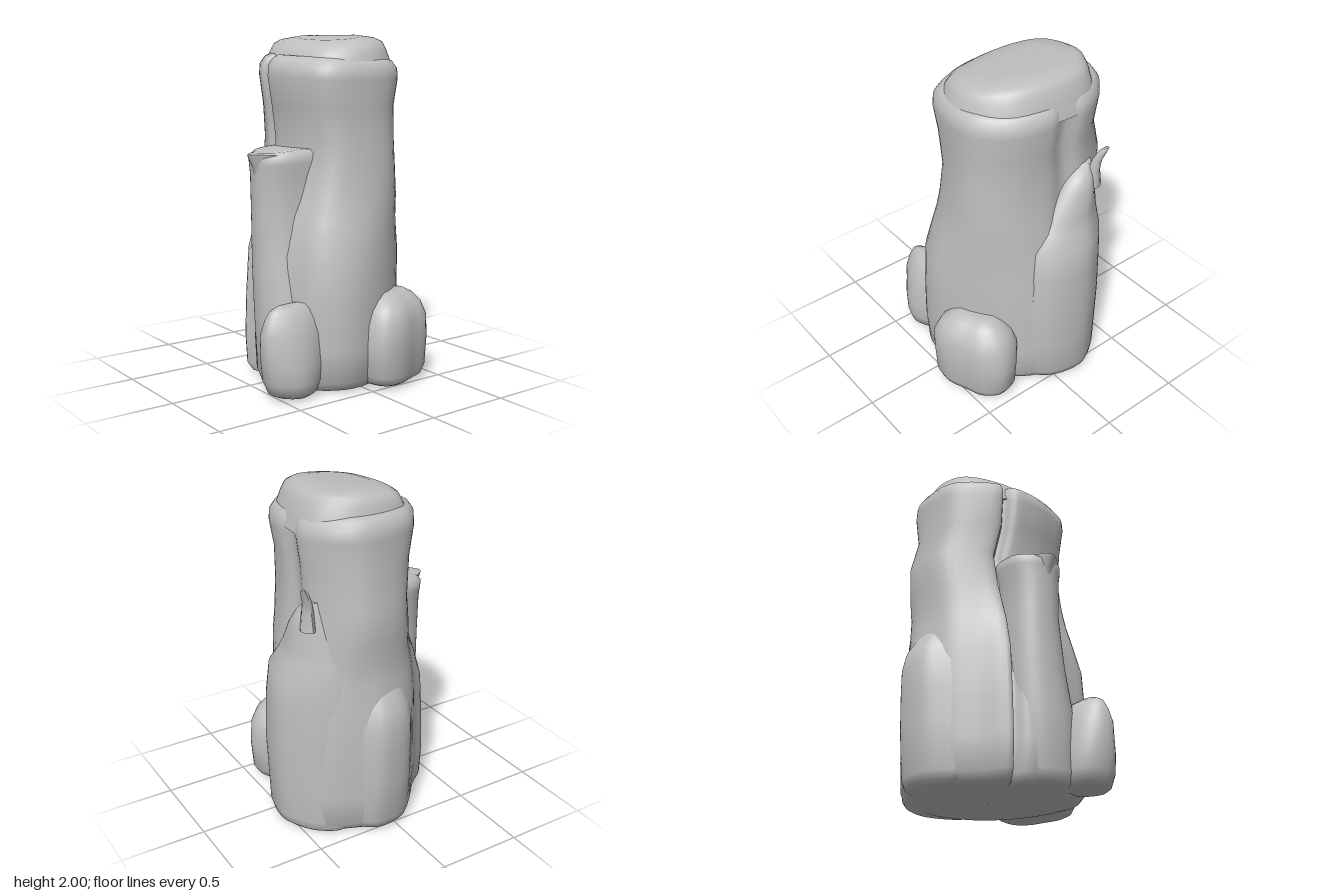
import * as THREE from 'three';
import { toCreasedNormals } from 'three/addons/utils/BufferGeometryUtils.js';

const stone = new THREE.MeshStandardMaterial({ color: 0xbfbfbf });
stone.name = 'grey stone';

const sampleOutline = (outline, samples) => {
  const curve = new THREE.CatmullRomCurve3(
    outline.map(([x, z]) => new THREE.Vector3(x, 0, z)), true, 'centripetal');
  return Array.from({ length: samples }, (_, i) => curve.getPoint(i / samples));
};

// Lofts a closed plan outline [x, z] (left, front, right, back) through
// ascending levels [y, scaleX, scaleZ, shiftX, shiftZ, morph], scaled about a
// centre. Morph blends to a second outline; heightRule changes point heights.
function loft(name, outline, centre, levels,
  { samples = 40, heightRule = (x, y) => y, base = outline } = {}) {
  const ring = sampleOutline(outline, samples), baseRing = sampleOutline(base, samples);
  const close = ([y, sx, sz, ...rest], s) => [y, sx * s, sz * s, ...rest];
  const last = levels[levels.length - 1];
  const all = [close(levels[0], 0.01), ...levels, close(last, 0.6), close(last, 0.01)];
  const positions = [], index = [];
  all.forEach(([y, sx, sz, dx = 0, dz = 0, morph = 0], l) => {
    ring.forEach((point, i) => {
      const p = point.clone().lerp(baseRing[i], morph);
      const x = centre[0] + (p.x - centre[0]) * sx + dx;
      const z = centre[1] + (p.z - centre[1]) * sz + dz;
      positions.push(x, heightRule(x, y, z), z);
      if (l === all.length - 1) return;
      const a = l * samples + i, b = l * samples + (i + 1) % samples;
      index.push(a, b, b + samples, a, b + samples, a + samples);
    });
  });
  const geometry = new THREE.BufferGeometry();
  geometry.setAttribute('position', new THREE.Float32BufferAttribute(positions, 3));
  geometry.setIndex(index);
  const mesh = new THREE.Mesh(toCreasedNormals(geometry, 1), stone);
  mesh.name = name;
  return mesh;
}

export function createModel() {
  const model = new THREE.Group();
  model.name = 'treeStump';

  // Main trunk: round shaft with a front crevice, swelling into a lobed base
  const shaft = [[-0.48, -0.1], [-0.43, 0.1], [-0.28, 0.23], [-0.18, 0.27], [-0.145, 0.225],
    [-0.1, 0.29], [0.02, 0.3], [0.17, 0.27], [0.32, 0.19], [0.385, 0], [0.37, -0.22],
    [0.22, -0.38], [0.02, -0.43], [-0.09, -0.4], [-0.2, -0.43], [-0.36, -0.36], [-0.46, -0.24]];
  const base = [[-0.53, -0.1], [-0.45, 0.14], [-0.32, 0.27], [-0.2, 0.4], [-0.15, 0.33],
    [-0.1, 0.4], [0.04, 0.43], [0.2, 0.37], [0.37, 0.3], [0.47, 0.12], [0.42, -0.15],
    [0.24, -0.4], [0.08, -0.5], [-0.1, -0.54], [-0.24, -0.52], [-0.4, -0.42], [-0.48, -0.28]];
  model.add(loft('trunk', shaft, [-0.04, -0.07], [
    [0.005, 0.8, 0.8, 0, 0, 1], [0.02, 0.91, 0.91, 0, 0, 1], [0.07, 0.98, 0.98, 0, 0, 1],
    [0.25, 1, 1, 0, 0, 1], [0.5, 1, 0.98, 0, 0, 1], [0.77, 1.01, 0.98, 0, 0, 0.85],
    [0.95, 1, 0.98, 0, 0, 0.45], [1.08, 1.01, 0.97, 0, -0.01, 0.18],
    [1.2, 1.04, 0.95, -0.01, -0.01], [1.4, 1.04, 0.89, -0.02, -0.02], [1.6, 0.98, 0.95],
    [1.76, 1.02, 1.02], [1.82, 1.01, 1.01], [1.86, 0.95, 0.93], [1.88, 0.88, 0.82]],
  { samples: 85, base,
    heightRule: (x, y) => y - 0.05 * x * THREE.MathUtils.smoothstep(y, 1.6, 1.82) }));

  // Rounded crown, highest towards the back and falling to the front and right
  const crown = [[-0.41, -0.08], [-0.36, 0.1], [-0.2, 0.19], [0.05, 0.21], [0.25, 0.16],
    [0.34, 0], [0.32, -0.18], [0.2, -0.32], [-0.05, -0.38], [-0.27, -0.36], [-0.38, -0.24]];
  model.add(loft('crown', crown, [-0.03, -0.08], [
    [1.78, 1.1, 1.16], [1.86, 1.04, 1.08], [1.91, 1, 1], [1.95, 0.95, 0.92],
    [1.97, 0.86, 0.8], [1.985, 0.6, 0.55]], { samples: 48, heightRule: (x, y, z) => {
    const lift = THREE.MathUtils.smoothstep(y, 1.8, 1.95);
    return Math.min(2, y - lift * (0.06 * x + 0.1 * (z + 0.08)));
  } }));

  // Broken column on the front, its top falling to a pointed lip
  model.add(loft('frontColumn', [[-0.16, 0.2], [-0.15, 0.36], [-0.08, 0.44], [0.03, 0.46],
    [0.12, 0.41], [0.18, 0.3], [0.2, 0.1], [-0.1, 0.1]], [0.02, 0.25], [
    [0.015, 0.8, 0.75, 0.07], [0.03, 1, 0.9, 0.08], [0.09, 1.12, 1, 0.08], [0.4, 1.15, 1.02, 0.06],
    [0.7, 1.02, 1, 0.02], [1, 0.92, 0.98], [1.22, 0.96, 0.99], [1.29, 1.03, 1],
    [1.34, 1.04, 1.02], [1.365, 0.92, 0.9]], {
    heightRule: (x, y, z) => y - 0.13 * Math.max(0, z - 0.25) * THREE.MathUtils.smoothstep(y, 1.2, 1.34) }));
  model.add(loft('frontLip', [[-0.1, 0.36], [-0.06, 0.44], [0, 0.5], [0.08, 0.45], [0.14, 0.36],
    [0.02, 0.26]], [0.02, 0.36], [[1.15, 0.6, 0.6], [1.27, 0.85, 0.8], [1.315, 0.97, 0.97],
    [1.335, 1, 1], [1.345, 0.85, 0.8]], { samples: 24 }));

  // Short root at the front, tapering up to a blunt peak
  model.add(loft('frontRoot', [[0.12, 0.42], [0.17, 0.54], [0.25, 0.59], [0.33, 0.585],
    [0.41, 0.48], [0.42, 0.36], [0.34, 0.22], [0.16, 0.22]], [0.28, 0.4], [
    [0.02, 0.75, 0.55], [0.035, 0.88, 0.72], [0.1, 1, 0.87], [0.2, 1, 0.94], [0.37, 0.82, 1],
    [0.45, 0.62, 0.88], [0.5, 0.42, 0.74], [0.525, 0.22, 0.5]]));

  // Boulder-like root at the side
  model.add(loft('sideRoot', [[0.18, -0.25], [0.3, 0.02], [0.48, 0.01], [0.56, -0.04],
    [0.58, -0.15], [0.53, -0.3], [0.48, -0.42], [0.37, -0.49], [0.24, -0.44]], [0.36, -0.22], [
    [0.02, 0.75, 0.72], [0.035, 0.87, 0.85], [0.08, 0.95, 0.95], [0.25, 0.98, 1],
    [0.38, 1, 0.96], [0.46, 0.85, 0.82], [0.51, 0.6, 0.62], [0.54, 0.35, 0.4]]));

  // Low bulge on the opposite flank
  model.add(loft('sideBulge', [[-0.57, -0.15], [-0.58, -0.04], [-0.55, 0.05], [-0.49, 0.11],
    [-0.36, 0.18], [-0.25, -0.05], [-0.4, -0.26]], [-0.4, -0.05], [
    [0.015, 0.6, 0.8], [0.035, 0.74, 0.97], [0.08, 0.83, 1.05], [0.35, 0.95, 1.05],
    [0.55, 0.99, 1.03], [0.7, 1, 1], [0.8, 0.88, 0.88], [0.9, 0.55, 0.7], [1, 0.2, 0.4]]));

  // Thick root up the back, slanting up to the foot of the twig
  model.add(loft('backRoot', [[-0.45, -0.3], [-0.42, -0.2], [-0.2, -0.15], [0.1, -0.25],
    [0.16, -0.43], [0.06, -0.54], [-0.15, -0.585], [-0.28, -0.53], [-0.38, -0.44]],
  [-0.29, -0.37], [
    [0.015, 0.8, 0.75], [0.035, 0.92, 0.88], [0.08, 0.98, 0.93], [0.3, 1, 0.96], [0.52, 1, 1.01],
    [0.8, 0.97, 0.96], [0.98, 0.9, 0.9], [1.07, 0.76, 0.7], [1.15, 0.64, 0.62],
    [1.28, 0.46, 0.58], [1.36, 0.32, 0.48], [1.43, 0.17, 0.3]]));

  // Small bent twig
  model.add(loft('twig', [[-0.33, -0.44], [-0.29, -0.4], [-0.25, -0.44], [-0.29, -0.48]],
    [-0.29, -0.44], [[1.28, 1.5, 1.1], [1.38, 1.1, 0.9], [1.45, 0.8, 0.7, -0.015, -0.01],
      [1.5, 0.7, 0.6, -0.03, -0.03], [1.535, 0.3, 0.3, -0.045, -0.05]], { samples: 12 }));

  return model;
}
